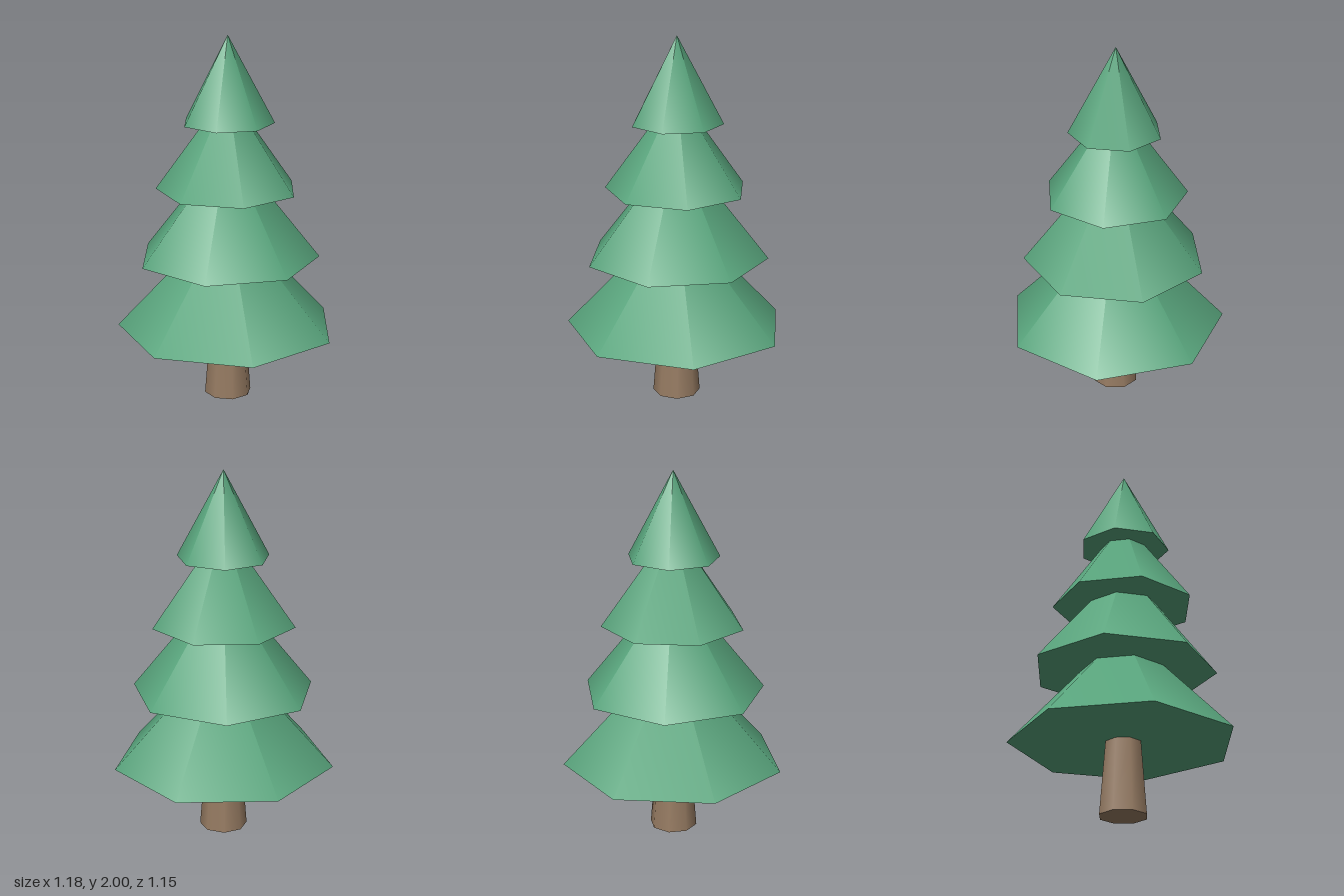
import * as THREE from 'three';

export function createModel() {
  const tree = new THREE.Group();
  tree.name = 'pineTree';
  const needles = new THREE.MeshStandardMaterial({ color: 0x58a47c });
  needles.name = 'needleGreen';
  const bark = new THREE.MeshStandardMaterial({ color: 0x967b62 });
  bark.name = 'barkBrown';
  const axisZ = -0.033;

  const add = (name, geometry, material, y) => {
    const mesh = new THREE.Mesh(geometry, material);
    mesh.name = name;
    mesh.position.set(0, y, axisZ);
    tree.add(mesh);
    return mesh;
  };

  // Tapered eight-sided trunk, ending just inside the lowest tier
  add('trunk', new THREE.CylinderGeometry(0.097, 0.13, 0.42, 8), bark, 0.21);

  // Seven-sided cones, each turned half way round from the one below
  const tiers = [
    // name, radius, base height, apex height
    ['lowestBranches', 0.605, 0.393, 1.04],
    ['lowerBranches', 0.498, 0.795, 1.42],
    ['upperBranches', 0.386, 1.175, 1.71],
    ['treetop', 0.249, 1.536, 2],
  ];
  tiers.forEach(([name, radius, base, apex], i) => {
    const cone = new THREE.ConeGeometry(radius, apex - base, 7);
    add(name, cone, needles, (base + apex) / 2).rotation.y = i % 2 ? Math.PI : 0;
  });

  return tree;
}
